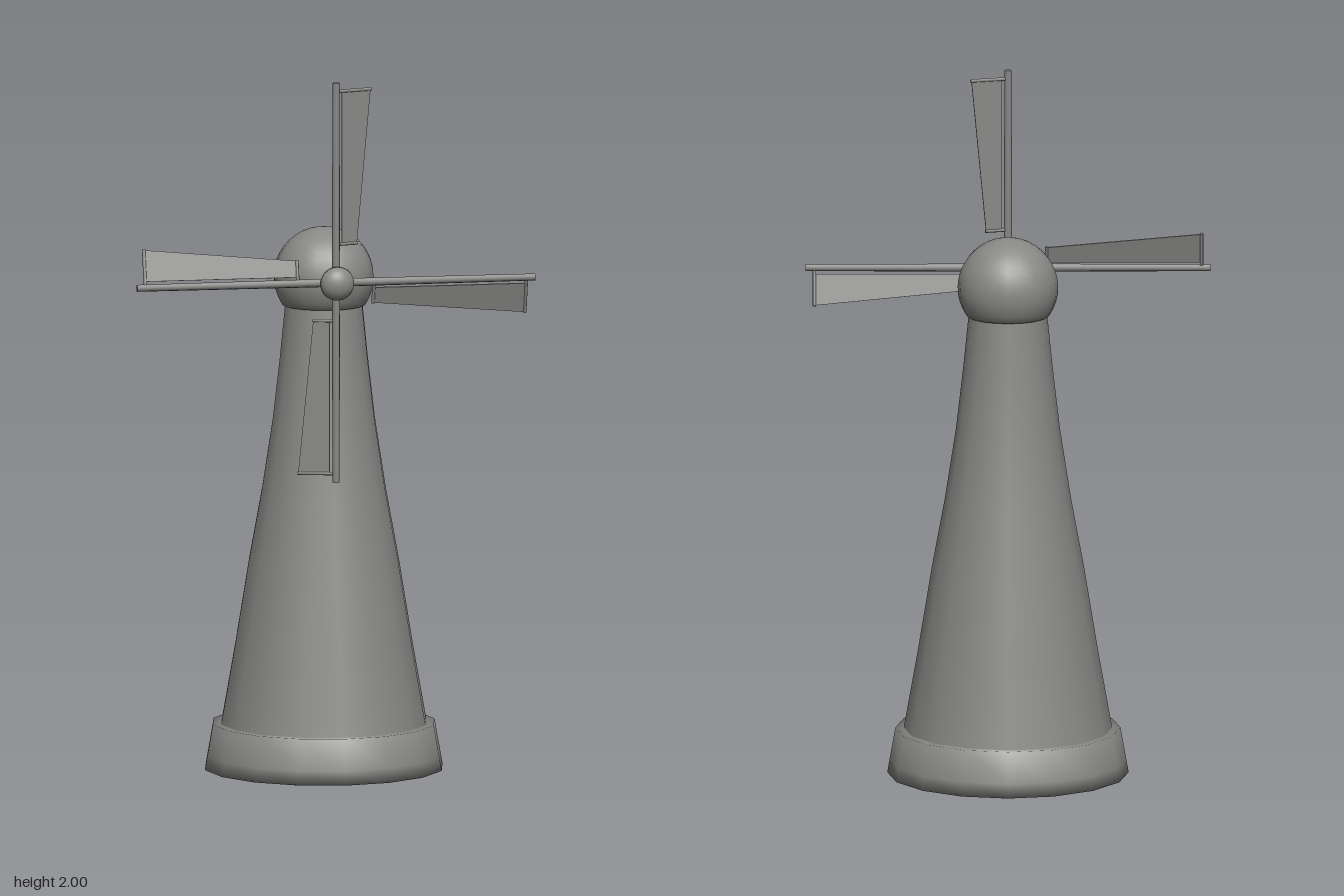
import * as THREE from 'three';

const stone = new THREE.MeshStandardMaterial({ name: 'grey', color: 0x888886 });
const HUB_Y = 1.425, SAIL_Z = 0.198;

function part(name, geometry, parent) {
  const mesh = new THREE.Mesh(geometry, stone);
  mesh.name = name;
  parent.add(mesh);
  return mesh;
}

const lathe = (points, sides) =>
  new THREE.LatheGeometry(points.map(([r, y]) => new THREE.Vector2(r, y)), sides);

// One sail: a round spar with a tapered, pitched panel between two thin rods
function makeSail() {
  const sail = new THREE.Group();
  part('spar', new THREE.CylinderGeometry(0.01, 0.012, 0.575, 8), sail).position.y = 0.2875;

  const pitched = new THREE.Group();
  pitched.name = 'sailPanel';
  pitched.rotation.y = 0.27;
  sail.add(pitched);

  const outline = new THREE.Shape([[0.018, 0.11], [0.065, 0.11], [0.108, 0.55], [0.018, 0.55]]
    .map(([x, y]) => new THREE.Vector2(x, y)));
  const cloth = new THREE.ExtrudeGeometry(outline, { depth: 0.004, bevelEnabled: false });
  part('cloth', cloth.translate(0, 0, -0.002), pitched);

  for (const [y, length] of [[0.11, 0.067], [0.55, 0.11]]) {
    const rod = part('crossRod', new THREE.CylinderGeometry(0.005, 0.005, length, 8), pitched);
    rod.rotation.z = Math.PI / 2;
    rod.position.set(length / 2, y, 0);
  }
  return sail;
}

export function createModel() {
  const model = new THREE.Group();
  model.name = 'windmill';

  // Sixteen-sided plinth and curved tower
  part('plinth', lathe([[0, 0], [0.343, 0], [0.336, 0.04], [0.32, 0.13], [0.28, 0.13]], 16), model);
  part('tower', lathe([[0.297, 0.125], [0.257, 0.35], [0.216, 0.6], [0.179, 0.8],
    [0.148, 1.0], [0.127, 1.18], [0.111, 1.34]], 16), model);

  // Round cap, cut flat underneath
  const R = 0.143, cut = 2.165;
  const profile = [[0, R * Math.cos(cut)]];
  for (let i = 0; i <= 14; i++) {
    const a = cut * (1 - i / 14);
    profile.push([R * Math.sin(a), R * Math.cos(a)]);
  }
  part('cap', lathe(profile, 20), model).position.y = 1.412;

  // Axle and domed hub
  const axle = part('axle', new THREE.CylinderGeometry(0.028, 0.028, 0.12, 16), model);
  axle.rotation.x = Math.PI / 2;
  axle.position.set(0, HUB_Y, 0.16);
  const dome = [[0, 0]];
  for (let i = 0; i <= 8; i++) {
    const a = (i / 8) * Math.PI / 2;
    dome.push([0.049 * Math.cos(a), 0.038 * Math.sin(a)]);
  }
  const hub = part('hub', lathe(dome, 20), model);
  hub.rotation.x = Math.PI / 2;
  hub.position.set(0, HUB_Y, 0.216);

  // Four sails around the hub
  const sails = new THREE.Group();
  sails.name = 'sails';
  sails.position.set(0, HUB_Y, SAIL_Z);
  for (let i = 0; i < 4; i++) {
    const sail = makeSail();
    sail.name = 'sail';
    sail.rotation.z = i * Math.PI / 2;
    sails.add(sail);
  }
  model.add(sails);
  return model;
}
